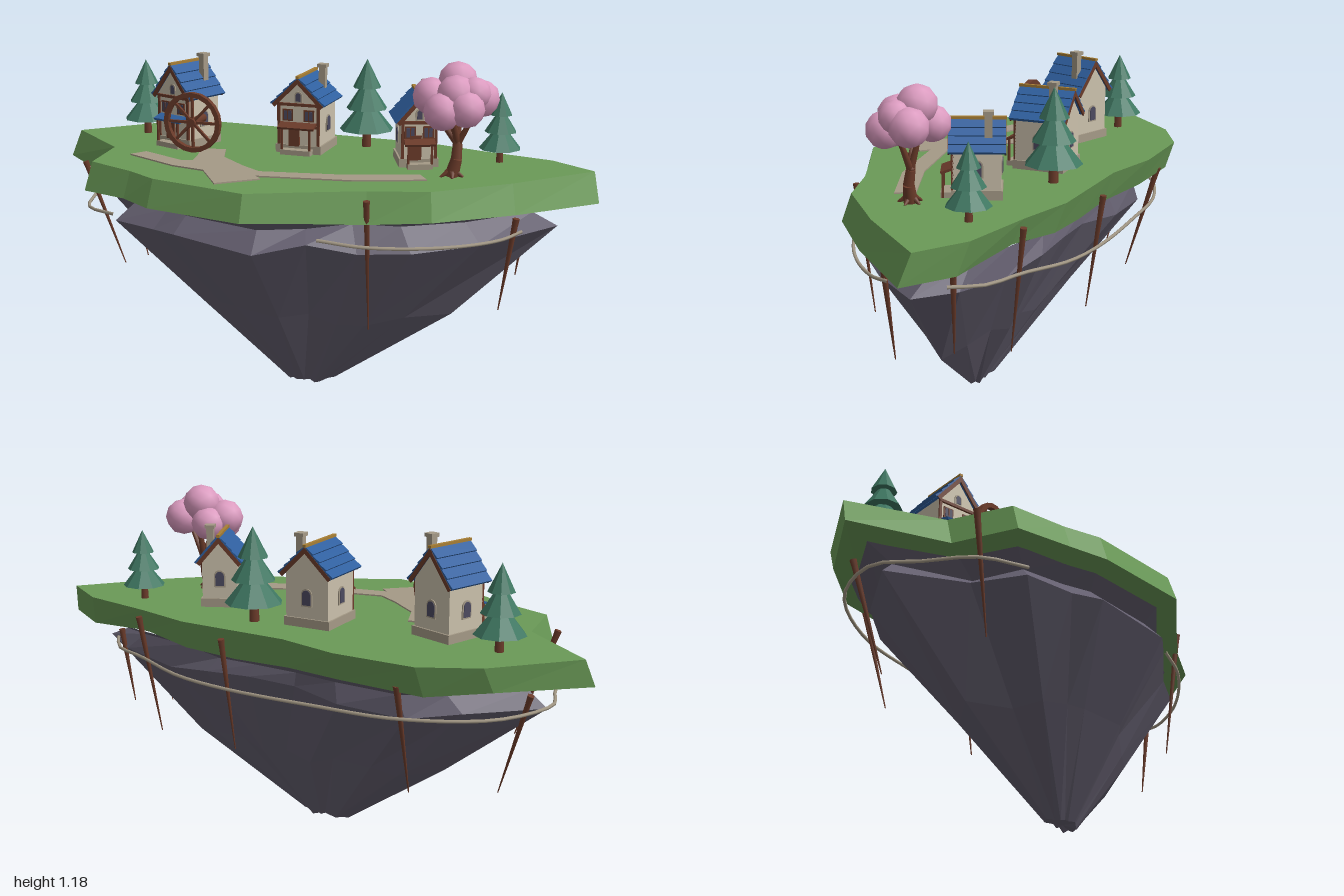
import * as THREE from 'three';

const mat = (name, color) => Object.assign(new THREE.MeshStandardMaterial({ color }), { name });
const M = {
  grass: mat('grass green', 0x6a9a57), rock: mat('purple grey rock', 0x645f6f),
  roof: mat('roof blue', 0x2f5f9e), blossom: mat('blossom pink', 0xdc9bc0),
  pine: mat('pine green', 0x3f7762), plaster: mat('plaster cream', 0xcbc1ac),
  wood: mat('dark wood', 0x6b3b2a), stone: mat('path stone', 0xa59a87),
  glass: mat('window slate', 0x4c4a60), gold: mat('gold trim', 0xa87f35),
};
const V = (x, y, z) => new THREE.Vector3(x, y, z);

function add(parent, name, geo, material, x = 0, y = 0, z = 0) {
  const m = new THREE.Mesh(geo, material);
  m.name = name;
  m.position.set(x, y, z);
  parent.add(m);
  return m;
}
const box = (p, name, w, h, d, material, x, y, z) =>
  add(p, name, new THREE.BoxGeometry(w, h, d), material, x, y, z);
function flat(geo) {
  const g = geo.index ? geo.toNonIndexed() : geo;
  g.computeVertexNormals();
  return g;
}
// tapered round bar between two points
function bar(p, name, a, b, ra, rb, material, sides = 6) {
  const d = b.clone().sub(a);
  const m = add(p, name, new THREE.CylinderGeometry(rb, ra, d.length(), sides), material);
  m.position.copy(a).addScaledVector(d, 0.5);
  m.quaternion.setFromUnitVectors(V(0, 1, 0), d.normalize());
  return m;
}
let seed = 7;
const rand = () => (seed = (seed * 16807) % 2147483647) / 2147483647 - 0.5;

// island outline seen from above (x, z)
const OUT = [[-1, -.18], [-.76, -.42], [-.57, -.51], [-.28, -.5], [-.06, -.44], [.15, -.43], [.35, -.42],
  [.56, -.36], [.83, -.3], [.995, -.19], [.76, .07], [.53, .27], [.33, .33], [.15, .41], [-.04, .5],
  [-.4, .42], [-.52, .35], [-.71, .27], [-.74, .04]];
// a ring is the outline scaled and shifted at height y, with some roughness
const ring = (y, sx, sz, ox, oz, rough = 0, dy = 0) => OUT.map(([x, z]) => {
  const k = 1 + rand() * rough;
  return V(x * sx * k + ox, y + rand() * dy, z * sz * k + oz);
});
function loft(rings, capTop, capBottom) {
  const pts = [];
  const tri = (...t) => t.forEach(v => pts.push(v.x, v.y, v.z));
  const n = OUT.length;
  const mid = r => r.reduce((s, v) => s.add(v), V(0, 0, 0)).divideScalar(n);
  for (let i = 0; i < n; i++) {
    const j = (i + 1) % n;
    for (let k = 0; k + 1 < rings.length; k++) {
      const a = rings[k], b = rings[k + 1];
      tri(a[i], a[j], b[j]);
      tri(a[i], b[j], b[i]);
    }
    const top = rings[0], low = rings[rings.length - 1];
    if (capTop) tri(mid(top), top[j], top[i]);
    if (capBottom) tri(mid(low), low[i], low[j]);
  }
  const g = new THREE.BufferGeometry();
  g.setAttribute('position', new THREE.Float32BufferAttribute(pts, 3));
  g.computeVertexNormals();
  return g;
}

function arch(w, h) {
  const s = new THREE.Shape();
  s.moveTo(-w / 2, 0).lineTo(w / 2, 0).lineTo(w / 2, h - w / 2);
  s.absarc(0, h - w / 2, w / 2, 0, Math.PI, false);
  return new THREE.ExtrudeGeometry(s, { depth: 0.004, bevelEnabled: false, curveSegments: 5 });
}
// framed window on a wall, facing angle turn
function archWindow(p, x, y, z, turn, w = 0.03, h = 0.05) {
  const g = new THREE.Group();
  g.name = 'archedWindow';
  add(g, 'windowFrame', arch(w + 0.01, h + 0.01), M.stone, 0, -0.005, 0);
  add(g, 'windowPane', arch(w, h), M.glass, 0, 0, 0.002);
  g.position.set(x, y, z);
  g.rotation.y = turn;
  p.add(g);
}

function house(root, name, x, z, turn, w, d, wallH, peak, awning) {
  const g = new THREE.Group();
  g.name = name;
  g.position.set(x, 0.8, z);
  g.rotation.y = turn;
  root.add(g);
  const hw = w / 2 - 0.016, hd = d / 2 - 0.014, run = w / 2;
  const ang = Math.atan2(peak - wallH, run), len = Math.hypot(run, peak - wallH);
  // plinth and gabled walls
  box(g, 'plinth', hw * 2 + 0.012, 0.03, hd * 2 + 0.012, M.stone, 0, 0.015, 0);
  const s = new THREE.Shape();
  s.moveTo(-hw, 0).lineTo(hw, 0).lineTo(hw, wallH + 0.008).lineTo(0, peak - 0.012).lineTo(-hw, wallH + 0.008);
  add(g, 'walls', new THREE.ExtrudeGeometry(s, { depth: hd * 2, bevelEnabled: false }), M.plaster, 0, 0, -hd);
  // shingle courses, gable boards and ridge
  for (const side of [-1, 1]) {
    const slope = new THREE.Group();
    slope.name = 'roofSlope';
    slope.position.y = peak;
    slope.rotation.z = -side * ang;
    g.add(slope);
    box(slope, 'roofDeck', len, 0.008, d, M.roof, side * len / 2, -0.004, 0);
    for (let i = 0; i < 4; i++) {
      const c = box(slope, 'shingleCourse', len / 4 + 0.006, 0.007, d, M.roof, side * len * (i + 0.5) / 4, 0.003, 0);
      c.rotation.z = side * 0.14;
    }
    for (const e of [-1, 1])
      box(slope, 'gableBoard', len, 0.014, 0.005, M.wood, side * len / 2, -0.006, e * (d / 2 - 0.001));
  }
  box(g, 'ridgeBeam', 0.012, 0.009, d + 0.006, M.gold, 0, peak + 0.006, 0);
  // timber on the front
  for (const e of [-1, 1]) box(g, 'cornerPost', 0.01, wallH - 0.03, 0.008, M.wood, e * (hw - 0.005), wallH / 2 + 0.015, hd + 0.001);
  box(g, 'eavesBeam', hw * 2, 0.01, 0.01, M.wood, 0, wallH, hd + 0.002);
  box(g, 'floorBeam', hw * 2, 0.009, 0.008, M.wood, 0, wallH * 0.55, hd + 0.001);
  // door, steps, windows
  box(g, 'door', 0.04, 0.085, 0.008, M.wood, -hw * 0.2, 0.068, hd + 0.003);
  box(g, 'frontStep', hw * 1.4, 0.018, 0.04, M.stone, 0, 0.009, hd + 0.02);
  for (const e of [-1, 1]) {
    const wy = wallH * 0.78, wx = e * hw * 0.5;
    box(g, 'windowFrame', 0.038, 0.042, 0.006, M.wood, wx, wy, hd + 0.001);
    box(g, 'windowPane', 0.028, 0.032, 0.006, M.glass, wx, wy, hd + 0.003);
    box(g, 'windowBar', 0.004, 0.032, 0.006, M.wood, wx, wy, hd + 0.0045);
    archWindow(g, e * hw, 0.075, 0, e * Math.PI / 2);
  }
  archWindow(g, 0, wallH + 0.012, hd, 0, 0.018, 0.03);
  archWindow(g, 0, 0.075, -hd, Math.PI);
  // porch canopy on posts
  const canopy = box(g, 'porchCanopy', hw * 1.7, 0.008, 0.04, awning, 0, wallH * 0.58, hd + 0.02);
  canopy.rotation.x = 0.35;
  for (const e of [-1, 1]) box(g, 'porchPost', 0.007, wallH * 0.55, 0.007, M.wood, e * hw * 0.65, wallH * 0.28, hd + 0.033);
  // chimney
  const cx = hw * 0.6, cz = -d * 0.2;
  box(g, 'chimney', 0.024, 0.13, 0.024, M.stone, cx, peak - 0.035, cz);
  box(g, 'chimneyCap', 0.034, 0.012, 0.034, M.stone, cx, peak + 0.03, cz);
}

function pine(root, x, z, r, h) {
  const g = new THREE.Group();
  g.name = 'pineTree';
  g.position.set(x, 0.8, z);
  root.add(g);
  add(g, 'pineTrunk', new THREE.CylinderGeometry(r * 0.14, r * 0.18, h * 0.3, 7), M.wood, 0, h * 0.15, 0);
  [[1, .2, .58], [.76, .44, .8], [.52, .68, 1]].forEach(([k, a, b]) =>
    add(g, 'pineTier', flat(new THREE.ConeGeometry(r * k, h * (b - a), 9)), M.pine, 0, h * (a + b) / 2, 0));
}

function blossomTree(root) {
  const g = new THREE.Group();
  g.name = 'blossomTree';
  root.add(g);
  const trunk = [V(.53, .8, .03), V(.545, .86, .028), V(.545, .91, .02), V(.53, .96, .025)];
  [.024, .019, .016].forEach((r, i) => bar(g, 'trunk', trunk[i], trunk[i + 1], r, [.019, .016, .012][i], M.wood, 8));
  [[.46, 1.03, .05], [.61, 1.03, .03], [.53, 1.06, .09], [.54, 1.06, -.02]].forEach(p =>
    bar(g, 'branch', trunk[2], V(...p), .013, .006, M.wood));
  for (let i = 0; i < 5; i++) {
    const a = i * Math.PI * 0.4;
    bar(g, 'root', V(.53, .825, .03), V(.53 + Math.cos(a) * .04, .8, .03 + Math.sin(a) * .04), .014, .004, M.wood);
  }
  [[.535, 1.115, .0, .066], [.455, 1.065, .03, .064], [.61, 1.06, -.01, .064], [.51, 1.03, .1, .064],
    [.585, 1.04, .085, .062], [.49, 1.05, -.03, .06], [.545, 1.08, .06, .066], [.6, 1.085, .04, .055]]
    .forEach(([x, y, z, r]) => add(g, 'blossomCluster', new THREE.IcosahedronGeometry(r, 1), M.blossom, x, y, z));
}

function waterWheel(root) {
  const g = new THREE.Group();
  g.name = 'waterWheel';
  g.position.set(-.417, .91, .01);
  root.add(g);
  const rim = new THREE.Shape().absarc(0, 0, .108, 0, Math.PI * 2);
  rim.holes.push(new THREE.Path().absarc(0, 0, .091, 0, Math.PI * 2, true));
  add(g, 'wheelRim', new THREE.ExtrudeGeometry(rim, { depth: .02, bevelEnabled: false, curveSegments: 10 }), M.wood, 0, 0, -.01);
  for (let i = 0; i < 4; i++) box(g, 'spoke', .19, .009, .01, M.wood, 0, 0, 0).rotation.z = i * Math.PI / 4;
  bar(g, 'axle', V(0, 0, .016), V(0, 0, -.09), .016, .016, M.wood, 8);
}

export function createModel() {
  const root = new THREE.Group();
  root.name = 'floatingIsland';

  // grass slab and rock body
  add(root, 'grassSlab', loft([ring(.8, .975, .97, 0, -.012), ring(.705, 1, .965, 0, .02, 0, .03),
    ring(.7, .84, .85, 0, -.005)], true, true), M.grass);
  add(root, 'rockBody', loft([ring(.705, .88, .88, 0, -.01), ring(.66, .77, .75, 0, 0, .03, .02),
    ring(.6, .855, .835, .008, .025, .03, .04), ring(.3, .485, .46, .02, .025, .08, .05),
    ring(.01, .09, .085, .03, .028, .1, .02)], false, true), M.rock);

  // forked path
  const path = [[-.41, -.04], [-.32, -.06], [-.28, .05], [-.17, .145], [-.09, .2], [.19, .15], [.43, .06],
    [.47, .12], [.24, .21], [-.08, .26], [-.05, .29], [-.17, .395], [-.275, .245], [-.4, .22], [-.61, .12],
    [-.575, .065], [-.4, .145], [-.365, .13], [-.38, .05]];
  const shape = new THREE.Shape(path.map(([x, z]) => new THREE.Vector2(x, -z)));
  const slab = new THREE.ExtrudeGeometry(shape, { depth: .005, bevelEnabled: false });
  add(root, 'path', slab.rotateX(-Math.PI / 2), M.stone, 0, .8, 0);

  house(root, 'millHouse', -.5, -.14, -.35, .185, .18, .18, .295, M.roof);
  house(root, 'middleHouse', -.06, -.195, 0, .19, .2, .175, .268, M.wood);
  house(root, 'smallHouse', .365, -.125, .4, .155, .18, .155, .245, M.wood);
  waterWheel(root);

  pine(root, -.715, -.235, .085, .28);
  pine(root, .135, -.295, .098, .32);
  pine(root, .64, -.22, .073, .245);
  blossomTree(root);

  // stakes driven into the rim
  [[.33, .775, .338, .325, .32, .28], [.75, .67, .015, .7, .34, .005], [.56, .775, -.365, .52, .35, -.31],
    [.15, .78, -.475, .14, .385, -.42], [-.48, .72, -.47, -.475, .33, -.36], [-.765, .775, .165, -.64, .4, .13],
    [-.83, .68, -.25, -.715, .32, -.2], [.75, .67, -.22, .715, .4, -.205]].forEach(([a, b, c, d, e, f]) => {
    const top = V(a, b, c), tip = V(d, e, f);
    bar(root, 'stake', top, tip, .011, .002, M.wood);
    bar(root, 'stakeHead', top, top.clone().lerp(tip, .13), .012, .009, M.wood);
  });

  // sagging ropes
  const rope = (...p) => add(root, 'rope', new THREE.TubeGeometry(
    new THREE.CatmullRomCurve3(p.map(q => V(...q))), 40, .006, 5), M.stone);
  rope([.17, .635, .36], [.33, .62, .335], [.56, .61, .22], [.71, .61, .08], [.765, .62, -.01]);
  rope([.775, .635, -.21], [.7, .63, -.3], [.56, .63, -.36], [.36, .615, -.435], [.15, .61, -.468], [-.18, .61, -.476],
    [-.48, .61, -.46], [-.75, .615, -.34], [-.86, .62, -.15], [-.82, .61, 0], [-.755, .61, .17], [-.61, .62, .26]);

  // rest exactly on the ground
  root.updateMatrixWorld(true);
  const low = new THREE.Box3().setFromObject(root).min.y;
  root.children.forEach(c => { c.position.y -= low; });
  return root;
}
